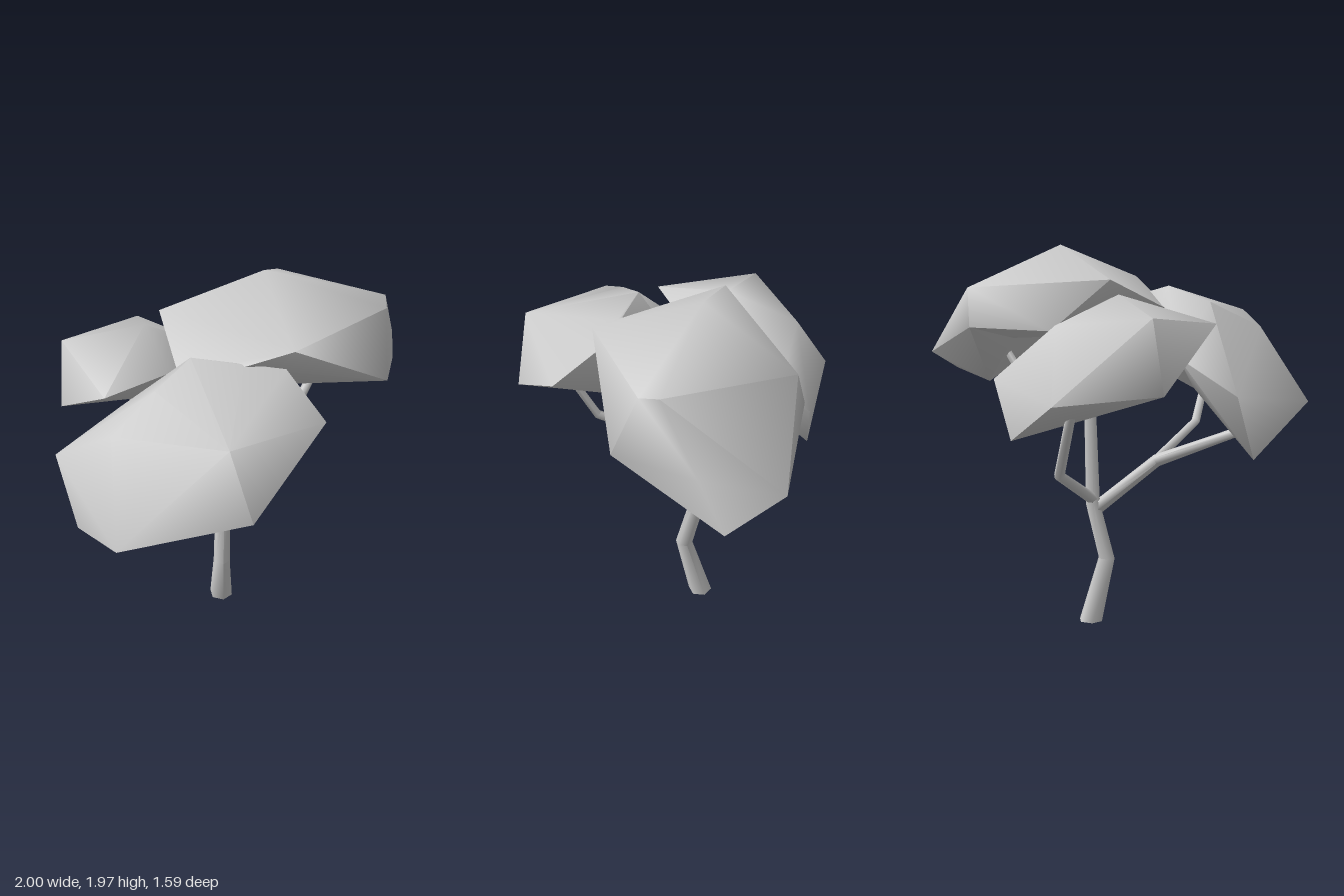
import * as THREE from 'three';
import { mergeGeometries, toCreasedNormals } from 'three/addons/utils/BufferGeometryUtils.js';
import { ConvexGeometry } from 'three/addons/geometries/ConvexGeometry.js';

const material = new THREE.MeshStandardMaterial({ color: 0xcccccc });
const vec = (p) => new THREE.Vector3(...p);

// Six-sided tapered limb; each point is [x, y, z, radius].
function limb(name, points, sides = 6) {
  const centres = points.map(([x, y, z]) => new THREE.Vector3(x, y, z));
  const last = points.length - 1;
  const positions = [];
  const index = [];
  centres.forEach((c, i) => {
    const dir = centres[Math.min(i + 1, last)].clone().sub(c).normalize();
    if (i > 0) dir.add(c.clone().sub(centres[i - 1]).normalize());
    if (c.y === 0) dir.set(0, 1, 0); // flat cut on the ground
    const turn = new THREE.Quaternion().setFromUnitVectors(new THREE.Vector3(0, 1, 0), dir.normalize());
    for (let s = 0; s < sides; s++) {
      const a = (s / sides) * Math.PI * 2;
      const p = new THREE.Vector3(Math.cos(a), 0, Math.sin(a)).multiplyScalar(points[i][3]);
      positions.push(...p.applyQuaternion(turn).add(c).toArray());
    }
  });
  for (let i = 0; i < last; i++) {
    for (let s = 0; s < sides; s++) {
      const a = i * sides + s;
      const b = i * sides + ((s + 1) % sides);
      index.push(a, a + sides, b, b, a + sides, b + sides);
    }
  }
  // End caps
  for (let s = 1; s < sides - 1; s++) {
    const t = last * sides;
    index.push(0, s, s + 1, t, t + s + 1, t + s);
  }
  const geometry = new THREE.BufferGeometry();
  geometry.setAttribute('position', new THREE.Float32BufferAttribute(positions, 3));
  geometry.setIndex(index);
  const mesh = new THREE.Mesh(toCreasedNormals(geometry, 1.1), material);
  mesh.name = name;
  return mesh;
}

// Leaf mass: faceted hulls joined at a shared section, shaded as one soft form.
function canopy(name, ...hulls) {
  const parts = hulls.map((points) => new ConvexGeometry(points.map(vec)));
  const mesh = new THREE.Mesh(toCreasedNormals(mergeGeometries(parts), 1.25), material);
  mesh.name = name;
  return mesh;
}

export function createModel() {
  const tree = new THREE.Group();
  tree.name = 'tree';

  // Trunk and branches
  tree.add(
    limb('trunk', [[0.025, 0, 0, 0.064], [-0.035, 0.33, 0.07, 0.046], [0.02, 0.63, 0.015, 0.041],
      [0.08, 1.14, 0.11, 0.034], [0.1, 1.59, 0.07, 0.026]]),
    limb('leftBranch', [[0.07, 1.12, 0.11, 0.025], [0.44, 1.185, 0.14, 0.025], [0.62, 1.44, 0.15, 0.021]]),
    limb('rightBranch', [[0.02, 0.59, 0.03, 0.036], [-0.31, 0.87, 0.08, 0.032], [-0.8, 1.07, 0.06, 0.022]]),
    limb('rightFork', [[-0.3, 0.865, 0.08, 0.026], [-0.405, 1.04, 0.41, 0.024], [-0.43, 1.38, 0.58, 0.02]]),
    limb('backBranch', [[0.02, 0.655, 0.01, 0.03], [0, 0.85, -0.42, 0.027], [-0.18, 1.27, -0.62, 0.024]]),
  );

  // Left canopy, drooping towards its outer end
  const leftSection = [[0.68, 1.83, 0.45], [0.61, 1.81, 0.52], [0.53, 1.49, 0.63],
    [0.62, 1.75, -0.22], [0.57, 1.55, -0.29], [0.52, 1.48, 0.08]];
  tree.add(canopy('leftCanopy',
    [...leftSection, [0.23, 1.97, 0.07], [-0.01, 1.81, 0.52], [-0.18, 1.72, 0.35], [-0.34, 1.65, 0.1],
      [-0.18, 1.79, -0.22], [0.1, 1.54, -0.31], [0.03, 1.5, 0.25], [-0.1, 1.52, -0.1]],
    [...leftSection, [0.98, 1.4, -0.01], [1, 1.29, 0.29], [0.68, 1.24, 0.1], [0.88, 1.52, 0.36]],
  ));

  // Right canopy, drooping towards its outer end
  const rightSection = [[-0.57, 1.63, 0.7], [-0.51, 1.26, 0.79], [-0.5, 1.25, 0.1],
    [-0.5, 1.42, -0.14], [-0.55, 1.68, 0.19]];
  tree.add(canopy('rightCanopy',
    [...rightSection, [-0.33, 1.76, 0.18], [-0.16, 1.73, 0.35], [-0.01, 1.7, 0.47], [-0.01, 1.54, 0.73],
      [-0.06, 1.38, 0.4], [-0.27, 1.42, -0.02]],
    [...rightSection, [-1, 1.17, 0.45], [-0.86, 0.93, -0.05], [-0.83, 1.25, -0.23], [-0.81, 1.56, 0.2]],
  ));

  // Back canopy
  tree.add(canopy('backCanopy',
    [[-0.24, 1.72, -0.26], [-0.05, 1.58, -0.56], [-0.53, 1.62, -0.55], [-0.15, 1.23, -0.8],
      [-0.58, 1.27, -0.53], [-0.66, 1.58, -0.04], [-0.26, 1.55, -0.05], [0.25, 1.39, -0.32],
      [0.34, 1.31, -0.45], [0.21, 1.02, -0.52], [0.1, 1.4, -0.16]],
  ));

  return tree;
}
